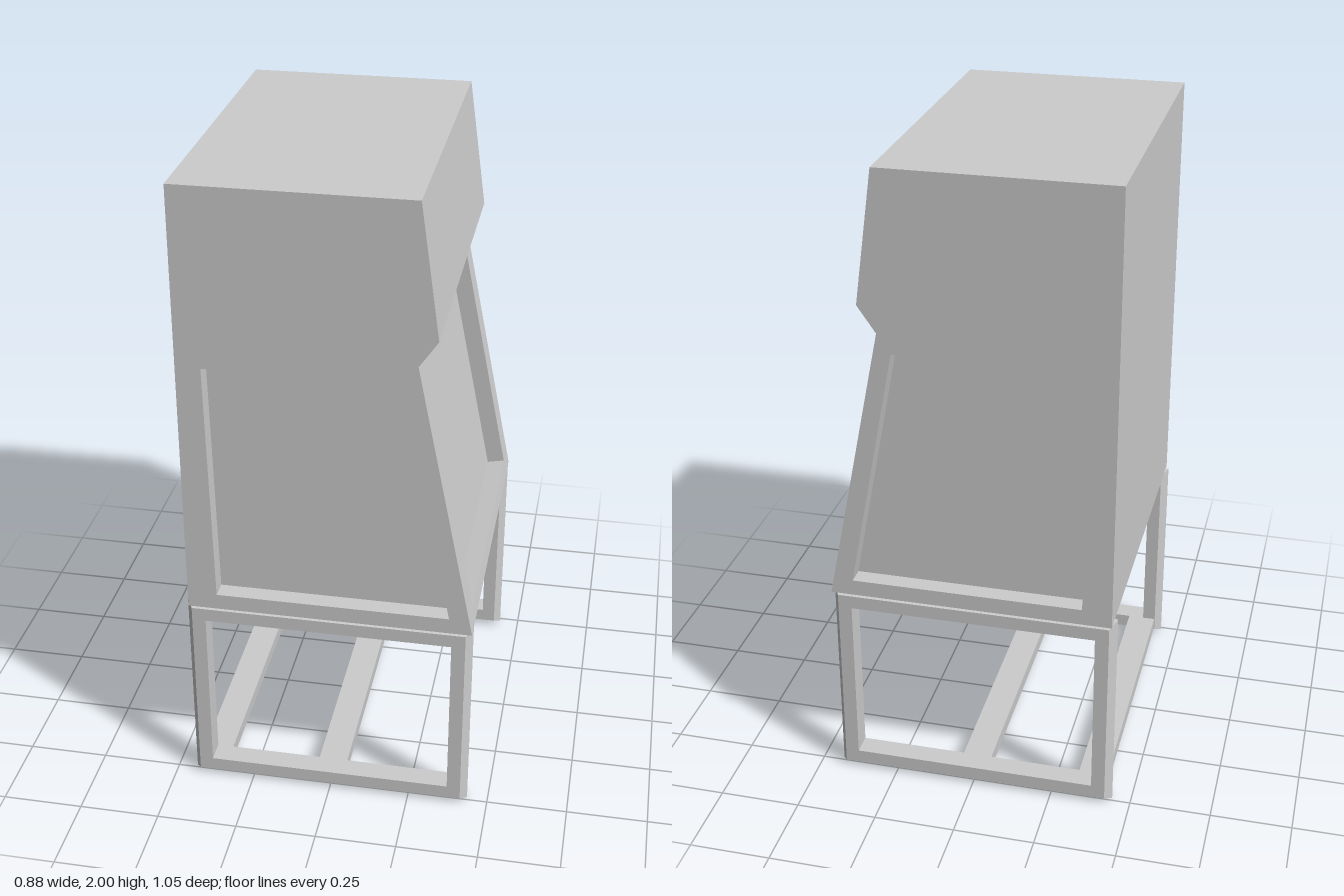
import * as THREE from 'three';

const grey = new THREE.MeshStandardMaterial({ color: 0xcccccc, flatShading: true });
const HALF = 0.525;   // half depth of the cabinet along z
const RECESS = 0.056; // depth of the sunken panels
const FRONT_TOP = [0.26, 1.52], FRONT_BOTTOM = [0.435, 0.65];
const PROFILE = [[-0.43, 0.65], FRONT_BOTTOM, FRONT_TOP, [0.315, 1.6], [0.26, 2], [-0.43, 2]];

const vectors = (points) => points.map(([x, y]) => new THREE.Vector2(x, y));

function add(parent, name, geometry) {
  const mesh = new THREE.Mesh(geometry, grey);
  mesh.name = name;
  parent.add(mesh);
  return mesh;
}

// Triangles from a list of quads, each with counter-clockwise corners
function quads(list) {
  const positions = list.flatMap(([a, b, c, d]) => [a, b, c, a, c, d].flat());
  const geometry = new THREE.BufferGeometry();
  geometry.setAttribute('position', new THREE.Float32BufferAttribute(positions, 3));
  geometry.computeVertexNormals();
  return geometry;
}

// Flat face towards +z with a sunken panel; hole corners run counter-clockwise
function recessedFace(name, outline, hole) {
  const group = new THREE.Group();
  group.name = name;
  const shape = new THREE.Shape(vectors(outline));
  shape.holes.push(new THREE.Path(vectors(hole)));
  add(group, name + 'Surround', new THREE.ShapeGeometry(shape));
  add(group, name + 'Panel', new THREE.ShapeGeometry(new THREE.Shape(vectors(hole)))).position.z = -RECESS;
  add(group, name + 'Reveal', quads(hole.map(([x, y], i) => {
    const [nx, ny] = hole[(i + 1) % hole.length];
    return [[x, y, 0], [nx, ny, 0], [nx, ny, -RECESS], [x, y, -RECESS]];
  })));
  return group;
}

function createCabinet() {
  const cabinet = new THREE.Group();
  cabinet.name = 'cabinet';

  // Two side walls with sunken trapezoid panels
  const hole = [[-0.34, 0.7], [0.365, 0.7], [0.22, 1.46], [-0.355, 1.46]];
  const side = recessedFace('sideWall', PROFILE, hole);
  side.position.z = HALF;
  const flip = (points) => points.map(([x, y]) => [-x, y]).reverse();
  const otherSide = recessedFace('oppositeSideWall', flip(PROFILE), flip(hole));
  otherSide.position.z = -HALF;
  otherSide.rotation.y = Math.PI;
  cabinet.add(side, otherSide);

  // Sloping window face
  const dx = FRONT_BOTTOM[0] - FRONT_TOP[0], dy = FRONT_TOP[1] - FRONT_BOTTOM[1];
  const length = Math.hypot(dx, dy);
  const low = 0.05 / dy * length, high = 0.81 / dy * length;
  const rect = (w, a, b) => [[-w, a], [w, a], [w, b], [-w, b]];
  const front = recessedFace('windowFace', rect(HALF, 0, length), rect(0.442, low, high));
  front.rotation.set(-Math.atan2(dx, dy), Math.PI / 2, 0, 'YXZ');
  front.position.set(...FRONT_BOTTOM, 0);
  cabinet.add(front);

  // Remaining walls: base, hood, roof and back
  const strips = [];
  PROFILE.forEach(([x, y], i) => {
    if (i === 1) return; // the window face fills this edge
    const [nx, ny] = PROFILE[(i + 1) % PROFILE.length];
    strips.push([[x, y, HALF], [x, y, -HALF], [nx, ny, -HALF], [nx, ny, HALF]]);
  });
  add(cabinet, 'outerShell', quads(strips));
  return cabinet;
}

// Mitred rectangular frame whose section has a ridge along the outer edge
function frameGeometry() {
  const section = [[0, 0], [0.02, 0.034], [0.062, 0.034], [0.062, -0.034], [0.02, -0.034]];
  const corners = [[-0.442, 0, 1, 1], [0.436, 0, -1, 1], [0.436, 0.66, -1, -1], [-0.442, 0.66, 1, -1]];
  const point = ([x, y, sx, sy], [inset, z]) => [x + sx * inset, y + sy * inset, z];
  const list = [];
  corners.forEach((c, i) => {
    const n = corners[(i + 1) % 4];
    section.forEach((s, j) => {
      const t = section[(j + 1) % section.length];
      list.push([point(c, t), point(c, s), point(n, s), point(n, t)]);
    });
  });
  return quads(list);
}

function createStand() {
  const stand = new THREE.Group();
  stand.name = 'stand';
  const frame = frameGeometry();
  for (const s of [-1, 1]) add(stand, 'legFrame', frame).position.z = s * 0.488;

  // Cross bars joining the two leg frames
  const bar = new THREE.BoxGeometry(0.09, 0.042, 0.93);
  add(stand, 'middleCrossBar', bar).position.set(0, 0.041, 0);
  add(stand, 'rearCrossBar', bar).position.set(-0.375, 0.041, 0);
  return stand;
}

export function createModel() {
  const model = new THREE.Group();
  model.name = 'safetyCabinet';
  model.add(createCabinet(), createStand());
  return model;
}
